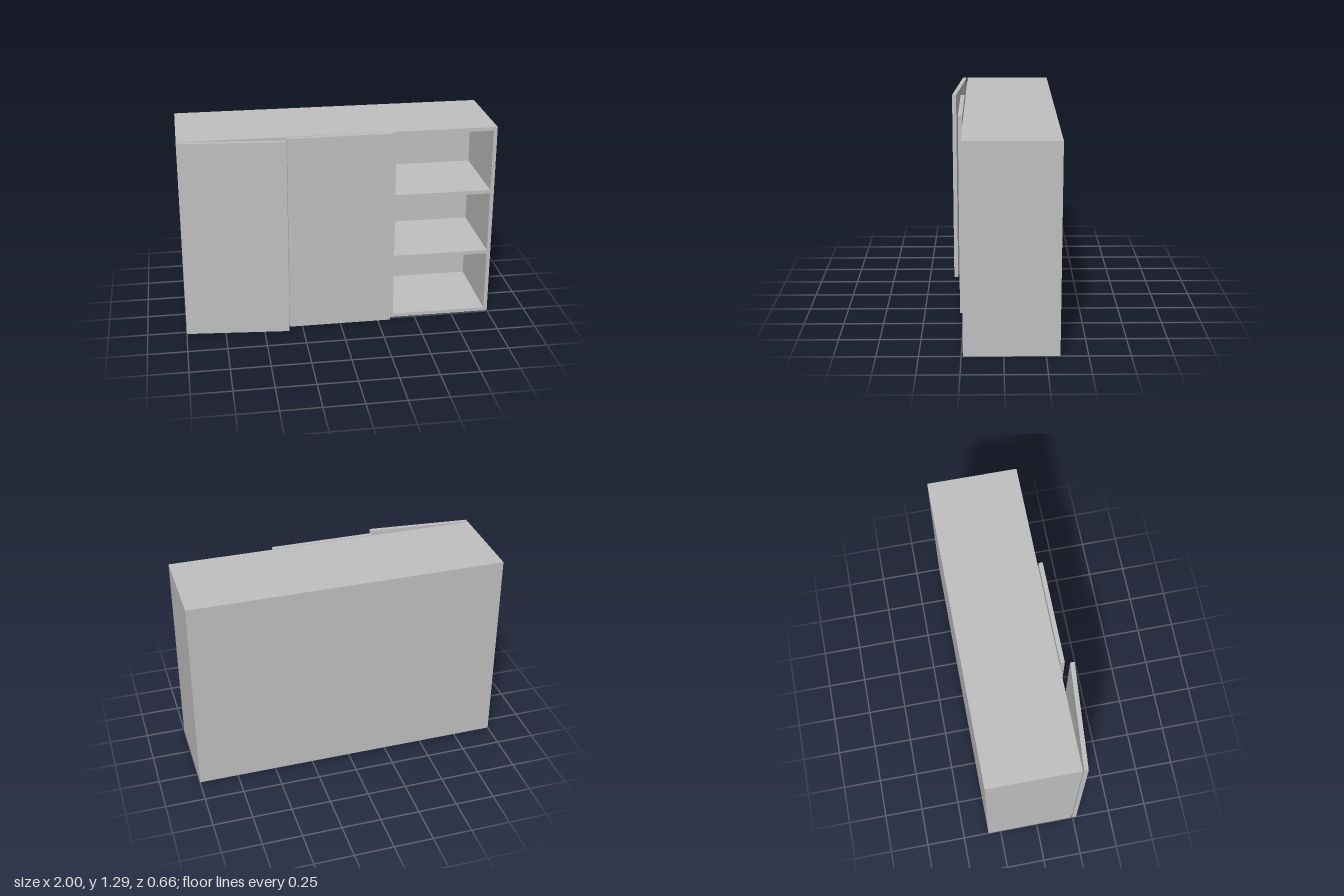
import * as THREE from 'three';

export function createModel() {
  const model = new THREE.Group();
  model.name = 'cabinet';
  const grey = new THREE.MeshStandardMaterial({ color: 0xc0c0c0 });
  grey.name = 'panel grey';

  const H = 1.295, W = 2 / 3, T = 0.024;
  const BACK = -0.333, FRONT = 0.24;

  // Box panel given by its minimum and maximum corners
  function panel(parent, name, x0, x1, y0, y1, z0, z1) {
    const mesh = new THREE.Mesh(new THREE.BoxGeometry(x1 - x0, y1 - y0, z1 - z0), grey);
    mesh.position.set((x0 + x1) / 2, (y0 + y1) / 2, (z0 + z1) / 2);
    mesh.name = name;
    parent.add(mesh);
    return mesh;
  }

  // Open-fronted carcass with evenly spaced shelves
  function carcass(name, x0, shelves) {
    const unit = new THREE.Group();
    unit.name = name;
    const x1 = x0 + W, inner = BACK + T;
    panel(unit, 'backPanel', x0, x1, 0, H, BACK, inner);
    panel(unit, 'rightWall', x0, x0 + T, 0, H, inner, FRONT);
    panel(unit, 'leftWall', x1 - T, x1, 0, H, inner, FRONT);
    panel(unit, 'floor', x0 + T, x1 - T, 0, T, inner, FRONT);
    panel(unit, 'top', x0 + T, x1 - T, H - T, H, inner, FRONT);
    for (let i = 1; i <= shelves; i++) {
      const y = (H - T) * i / (shelves + 1);
      panel(unit, 'shelf', x0 + T, x1 - T, y, y + T, inner, FRONT);
    }
    model.add(unit);
  }
  carcass('wardrobeUnit', -1, 0);
  carcass('middleUnit', -W / 2, 0);
  carcass('shelfUnit', W / 2, 2);

  // Doors turn about a hinge on their -x edge
  function door(name, x, angle) {
    const hinge = new THREE.Group();
    hinge.name = name;
    hinge.position.set(x, 0, 0.247);
    hinge.rotation.y = -angle;
    panel(hinge, 'doorPanel', 0, 0.662, 0, H, 0, 0.027);
    model.add(hinge);
  }
  door('openDoor', -0.998, THREE.MathUtils.degToRad(5));
  door('closedDoor', -0.331, 0);

  return model;
}
